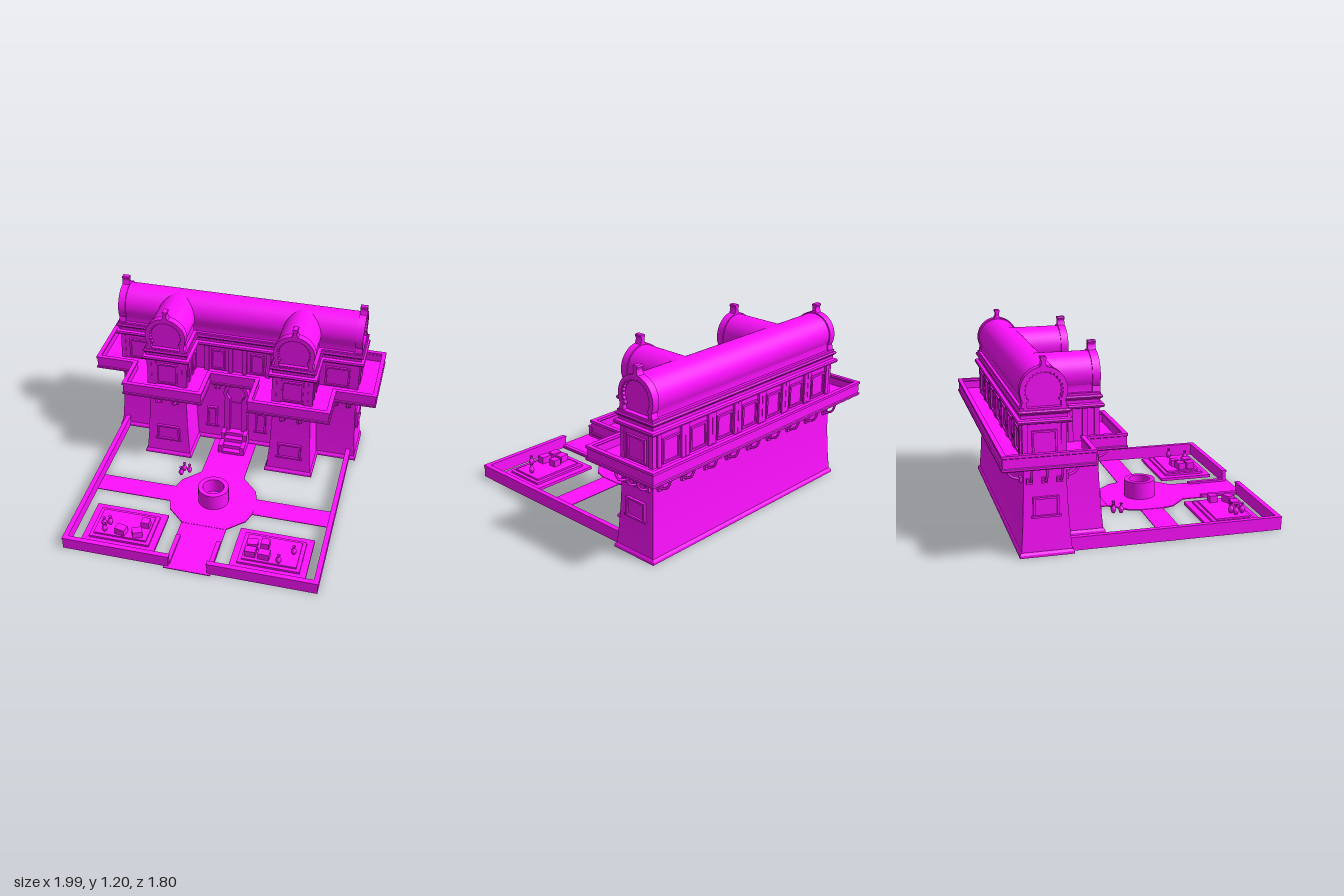
import * as THREE from 'three';
import { toCreasedNormals } from 'three/addons/utils/BufferGeometryUtils.js';

const mat = new THREE.MeshStandardMaterial({ color: 0xff10ff, side: THREE.DoubleSide });
const ROOF_Z = -0.625, WING_X = 0.44;

function add(parent, name, geo, x = 0, y = 0, z = 0, ry = 0) {
  const m = new THREE.Mesh(geo, mat);
  m.name = name;
  m.position.set(x, y, z);
  m.rotation.y = ry;
  parent.add(m);
  return m;
}
// box standing on y
const box = (parent, name, w, h, d, x, y, z, ry = 0) =>
  add(parent, name, new THREE.BoxGeometry(w, h, d), x, y + h / 2, z, ry);

// building plan (main block with two front wings), grown outward by d
function plan(d) {
  const half = [[0.855 + d, -0.76 - d], [0.855 + d, -0.49 + d], [0.58 + d, -0.49 + d],
    [0.58 + d, -0.23 + d], [0.30 - d, -0.23 + d], [0.30 - d, -0.49 + d]];
  return [...half, ...half.slice().reverse().map(([x, z]) => [-x, z])];
}
// sweep a profile of [offset, height] around the plan
function sweepPlan(profile) {
  const rings = profile.map(([d, y]) => plan(d).map(([x, z]) => [x, y, z]));
  const pos = [];
  for (let r = 0; r + 1 < rings.length; r++) {
    for (let i = 0; i < 12; i++) {
      const j = (i + 1) % 12, lo = rings[r], hi = rings[r + 1];
      pos.push(...lo[i], ...hi[i], ...hi[j], ...lo[i], ...hi[j], ...lo[j]);
    }
  }
  const g = new THREE.BufferGeometry();
  g.setAttribute('position', new THREE.Float32BufferAttribute(pos, 3));
  return toCreasedNormals(g, 0.5);
}
const polygon = pts => new THREE.Shape(pts.map(([x, y]) => new THREE.Vector2(x, y)));
const extrude = (shape, depth) => toCreasedNormals(
  new THREE.ExtrudeGeometry(shape, { depth, bevelEnabled: false, curveSegments: 28 }), 0.5);
function slab(parent, name, pts, y, h) {
  const m = add(parent, name, extrude(polygon(pts.map(([x, z]) => [x, -z])), h), 0, y, 0);
  m.rotation.x = -Math.PI / 2;
}
// horseshoe arch: round head of radius r at height cy, feet of half width foot at y = 0
function arch(r, cy, foot, PathType = THREE.Shape) {
  const p = new PathType(), a = -0.45;
  p.moveTo(foot, 0);
  p.lineTo(r * Math.cos(a), cy + r * Math.sin(a));
  p.absarc(0, cy, r, a, Math.PI - a, false);
  p.lineTo(-foot, 0);
  p.closePath();
  return p;
}

// gable: arched rim with scallops, recessed panel and flat finial
function gable(parent, x, z, ry) {
  const g = new THREE.Group();
  g.name = 'gable';
  g.position.set(x, 0.9, z);
  g.rotation.y = ry;
  const rim = arch(0.14, 0.1, 0.135);
  rim.holes.push(arch(0.113, 0.1, 0.1, THREE.Path));
  add(g, 'gableRim', extrude(rim, 0.05));
  add(g, 'gablePanel', extrude(arch(0.12, 0.1, 0.11), 0.015), 0, 0, 0.005);
  for (let i = 0; i < 19; i++) {
    const a = -0.5 + i * (Math.PI + 1) / 18;
    const s = add(g, 'scallop', new THREE.CylinderGeometry(0.011, 0.011, 0.02, 10),
      0.113 * Math.cos(a), 0.1 + 0.113 * Math.sin(a), 0.036);
    s.rotation.x = Math.PI / 2;
  }
  const right = [[0.025, 0.23], [0.013, 0.255], [0.011, 0.27], [0.019, 0.288], [0.015, 0.297]];
  const left = right.map(([px, py]) => [-px, py]).reverse();
  add(g, 'finial', extrude(polygon([...right, ...left]), 0.05));
  parent.add(g);
}

// framed window, y at the sill, facing its local +z
function framedWindow(parent, w, h, x, y, z, ry = 0, tall = false) {
  const g = new THREE.Group();
  g.name = 'window';
  g.position.set(x, y, z);
  g.rotation.y = ry;
  const f = 0.012, s = polygon([[-w / 2, 0], [w / 2, 0], [w / 2, h], [-w / 2, h]]);
  s.holes.push(new THREE.Path([[-w / 2 + f, f], [-w / 2 + f, h - f], [w / 2 - f, h - f], [w / 2 - f, f]]
    .map(p => new THREE.Vector2(...p))));
  add(g, 'windowFrame', extrude(s, 0.03), 0, 0, -0.015);
  box(g, 'windowPane', w - f, h - f, 0.012, 0, f / 2, -0.002);
  if (tall) box(g, 'windowSill', w + 0.02, 0.012, 0.03, 0, 0, 0.004);
  parent.add(g);
}

// curved strut under the gallery, reaching out along local +z
function strut(parent, x, z, ry) {
  const g = new THREE.Group();
  g.name = 'strut';
  g.position.set(x, 0, z);
  g.rotation.y = ry;
  const path = new THREE.CatmullRomCurve3([[0.465, -0.02], [0.47, 0.03], [0.49, 0.07], [0.53, 0.09], [0.58, 0.097]]
    .map(([y, o]) => new THREE.Vector3(0, y, o)));
  add(g, 'strutArm', new THREE.TubeGeometry(path, 14, 0.008, 8));
  box(g, 'strutFoot', 0.036, 0.032, 0.03, 0, 0.45, 0.005);
  parent.add(g);
}

function vase(parent, x, y, z) {
  const pts = [[0, 0], [0.01, 0], [0.019, 0.022], [0.016, 0.036], [0.007, 0.046], [0.007, 0.055], [0.012, 0.066]];
  add(parent, 'vase', new THREE.LatheGeometry(pts.map(p => new THREE.Vector2(...p)), 10), x, y, z);
}

export function createModel() {
  const model = new THREE.Group();
  const Q = Math.PI / 2;

  // Walls, gallery and cornices
  add(model, 'walls', sweepPlan([[0.03, 0], [0.03, 0.016], [0.022, 0.028], [0.018, 0.03], [0.013, 0.09], [0.006, 0.18],
    [0, 0.29], [-0.005, 0.42], [-0.008, 0.58], [-0.01, 0.82]]));
  add(model, 'gallery', sweepPlan([[-0.02, 0.572], [0.135, 0.572], [0.142, 0.578], [0.142, 0.59], [0.136, 0.594],
    [0.136, 0.65], [0.142, 0.654], [0.142, 0.67], [0.113, 0.67], [0.113, 0.655], [0.118, 0.65], [0.118, 0.6], [-0.02, 0.6]]));
  add(model, 'cornice', sweepPlan([[-0.02, 0.808], [0.012, 0.808], [0.024, 0.813], [0.028, 0.824], [0.024, 0.835],
    [0.012, 0.84], [0.004, 0.84], [0.004, 0.86], [0.01, 0.866], [0.018, 0.872], [0.02, 0.88], [0.014, 0.888], [0.008, 0.89], [0.008, 0.903]]));
  slab(model, 'roofDeck', plan(0.006), 0.885, 0.018);

  // Barrel roofs with gables
  const roofShape = arch(0.132, 0.1, 0.122);
  add(model, 'mainRoof', extrude(roofShape, 1.63), -0.815, 0.9, ROOF_Z, Q);
  for (const s of [-1, 1]) {
    add(model, 'wingRoof', extrude(roofShape, 0.37), s * WING_X, 0.9, ROOF_Z);
    gable(model, s * WING_X, -0.27, 0);
    gable(model, s * 0.808, ROOF_Z, s * Q);
  }

  // Upper pilasters and windows, lower windows, struts
  const pilaster = (x, z) => box(model, 'pilaster', 0.032, 0.21, 0.032, x, 0.6, z);
  for (let i = -3; i <= 3; i++) {
    framedWindow(model, 0.14, 0.155, i * 0.235, 0.61, -0.75, Math.PI);
    pilaster(i * 0.235 - 0.1, -0.75);
    pilaster(i * 0.235 + 0.1, -0.75);
  }
  for (let i = -4; i <= 4; i++) strut(model, i * 0.2, -0.752, Math.PI);
  for (const s of [-1, 1]) {
    framedWindow(model, 0.15, 0.155, s * 0.845, 0.61, ROOF_Z, s * Q);
    framedWindow(model, 0.17, 0.155, s * 0.705, 0.61, -0.5);
    framedWindow(model, 0.15, 0.165, s * WING_X, 0.61, -0.24);
    framedWindow(model, 0.1, 0.165, s * 0.14, 0.61, -0.5);
    for (const z of [-0.74, -0.51]) pilaster(s * 0.838, z);
    for (const x of [0.315, 0.348, 0.532, 0.565]) pilaster(s * x, -0.245);
    for (const x of [0.22, 0.05]) pilaster(s * x, -0.497);
    for (const z of [-0.32, -0.41, -0.48]) {
      pilaster(s * 0.565, z);
      pilaster(s * 0.315, z);
    }
    framedWindow(model, 0.155, 0.125, s * 0.856, 0.24, ROOF_Z, s * Q, true);
    framedWindow(model, 0.165, 0.12, s * WING_X, 0.13, -0.226, 0, true);
    framedWindow(model, 0.075, 0.17, s * 0.18, 0.11, -0.485, 0, true);
    for (const z of [-0.54, -0.63, -0.72]) strut(model, s * 0.848, z, s * Q);
    for (const x of [0.71, 0.8, 0.14]) strut(model, s * x, -0.497, 0);
    for (const x of [0.38, 0.5]) strut(model, s * x, -0.237, 0);
    for (const z of [-0.3, -0.44]) {
      strut(model, s * 0.573, z, s * Q);
      strut(model, s * 0.307, z, -s * Q);
    }
  }

  // Entrance with horseshoe arch and steps
  const head = new THREE.Shape();
  head.moveTo(0.085, 0);
  head.lineTo(0.085, 0.25);
  head.lineTo(0.078, 0.28);
  head.absarc(0, 0.33, 0.09, -0.5, Math.PI + 0.5, false);
  head.lineTo(-0.085, 0.25);
  head.lineTo(-0.085, 0);
  const inner = new THREE.Path();
  inner.moveTo(0.042, 0);
  inner.lineTo(0.042, 0.27);
  inner.absarc(0, 0.33, 0.066, -0.85, Math.PI + 0.85, false);
  inner.lineTo(-0.042, 0);
  head.holes.push(inner);
  add(model, 'doorSurround', extrude(head, 0.05), 0, 0.11, -0.5);
  box(model, 'door', 0.084, 0.24, 0.03, 0, 0.11, -0.49);
  box(model, 'doorTransom', 0.13, 0.2, 0.02, 0, 0.33, -0.49);
  for (let i = 0; i < 4; i++) box(model, 'step', 0.13, 0.11 - i * 0.028, 0.04, 0, 0, -0.445 + i * 0.04);
  for (const s of [-1, 1]) {
    box(model, 'stairSide', 0.03, 0.125, 0.08, s * 0.08, 0, -0.43);
    box(model, 'stairSide', 0.03, 0.07, 0.08, s * 0.08, 0, -0.35);
  }

  // Paths, plaza and well
  box(model, 'mainPath', 0.31, 0.006, 1.4, 0, 0, 0.2);
  box(model, 'crossPath', 1.64, 0.005, 0.155, 0, 0, 0.202);
  const corner = [[0.15, -0.07], [0.265, 0.05], [0.29, 0.13], [0.29, 0.28], [0.265, 0.36], [0.15, 0.47]];
  slab(model, 'plaza', [...corner, ...corner.map(([x, z]) => [-x, z]).reverse()], 0, 0.008);
  add(model, 'well', toCreasedNormals(new THREE.LatheGeometry([[0.105, 0], [0.105, 0.125], [0.072, 0.125], [0.072, 0.02], [0, 0.02]]
    .map(p => new THREE.Vector2(...p)), 28), 0.5), 0, 0, 0.2);

  // Garden walls and beds
  const wall = (w, d, x, z) => {
    box(model, 'gardenWall', w, 0.075, d, x, 0, z);
    box(model, 'wallCap', w + 0.006, 0.012, d + 0.006, x, 0.074, z);
  };
  for (const s of [-1, 1]) {
    wall(0.028, 1.34, s * 0.828, 0.2);
    wall(0.715, 0.028, s * 0.4845, 0.869);
    box(model, 'gateCurb', 0.03, 0.02, 0.26, s * 0.137, 0, 0.73);
    box(model, 'bedBase', 0.5, 0.02, 0.37, s * 0.5, 0, 0.625);
    box(model, 'bedStep', 0.41, 0.015, 0.28, s * 0.5, 0.02, 0.625);
    box(model, 'bedTop', 0.36, 0.012, 0.23, s * 0.5, 0.035, 0.625);
  }
  const crates = [[-0.5, 0.7, 0.2, 0.07], [-0.39, 0.7, -0.45, 0.065], [-0.36, 0.6, 0, 0.055], [0.37, 0.62, -0.15, 0.07],
    [0.45, 0.6, 0, 0.055], [0.37, 0.69, 0, 0.07], [0.46, 0.695, 0.05, 0.075]];
  for (const [x, z, r, w] of crates) box(model, 'crate', w, 0.046, 0.055, x, 0.047, z, -r);
  for (const [x, z] of [[-0.63, 0.66], [-0.595, 0.64], [-0.61, 0.71], [0.64, 0.62], [0.56, 0.72]]) vase(model, x, 0.047, z);
  for (const [x, z] of [[-0.28, -0.06], [-0.24, -0.05], [-0.29, -0.01]]) vase(model, x, 0, z);
  return model;
}
